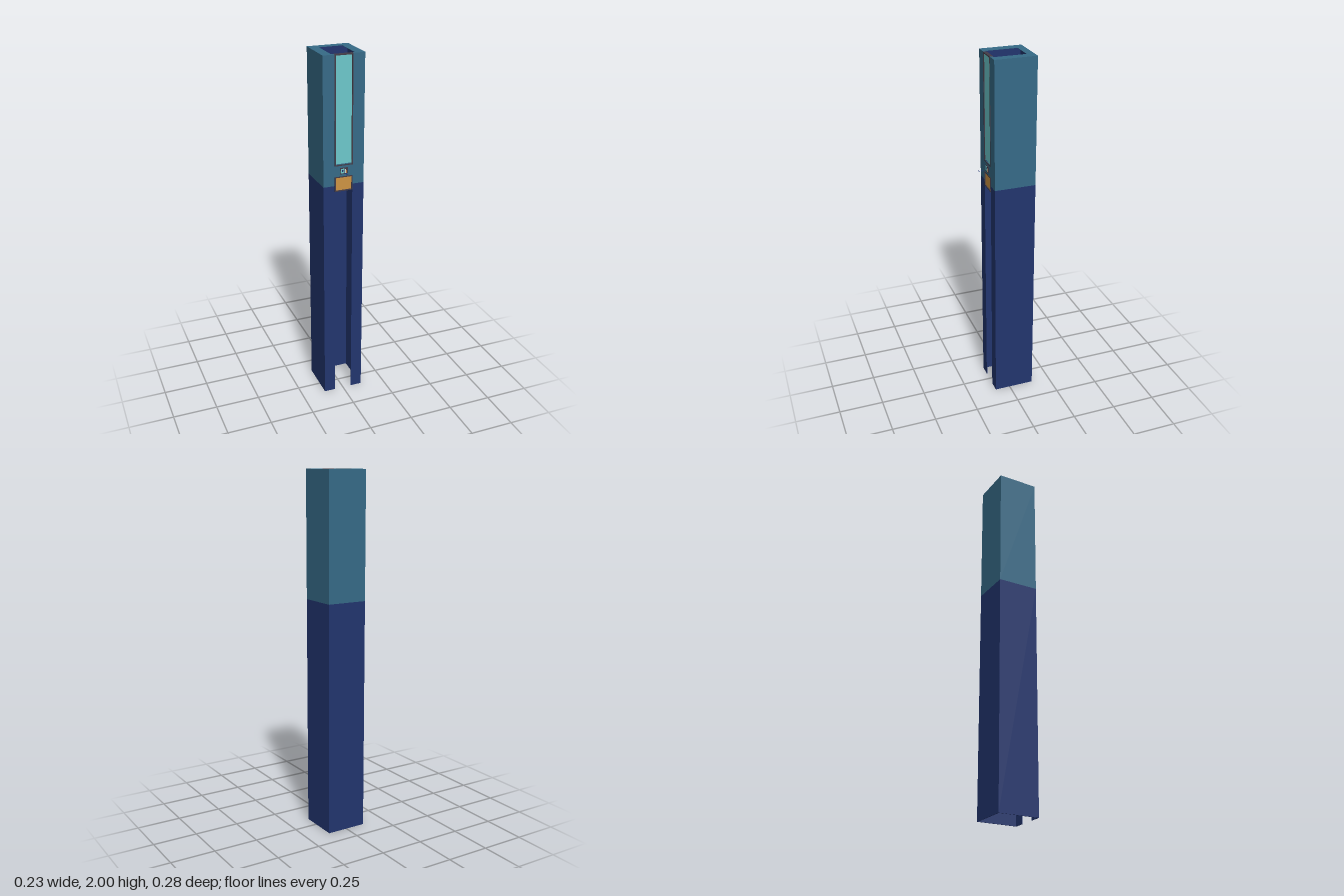
import * as THREE from 'three';

function material(name, color, side = THREE.FrontSide) {
  const m = new THREE.MeshStandardMaterial({ color, side });
  m.name = name;
  return m;
}

export function createModel() {
  const teal = material('teal', 0x366b88);
  const navy = material('navy', 0x22356f);
  const navySheet = navy;
  navySheet.side = THREE.DoubleSide;
  const cyan = material('cyan', 0x6dc9cc);
  const orange = material('orange', 0xcf9443);
  const copper = material('copper', 0xca8466);
  const dark = material('darkFrame', 0x433c48);
  const pale = material('paleGrey', 0xd0d4d8);

  const model = new THREE.Group();
  model.name = 'elevatorShaft';

  // Box given by its minimum and maximum on each axis
  function box(name, mat, x0, x1, y0, y1, z0, z1, parent = model) {
    const mesh = new THREE.Mesh(new THREE.BoxGeometry(x1 - x0, y1 - y0, z1 - z0), mat);
    mesh.position.set((x0 + x1) / 2, (y0 + y1) / 2, (z0 + z1) / 2);
    mesh.name = name;
    parent.add(mesh);
    return mesh;
  }

  const W = 0.115, BACK = -0.142, FRONT = 0.088, SLOT = 0.05;
  const SPLIT = 1.3, TOP = 2, T = 0.002;

  // Hollow walls: a navy liner inside, with a navy or teal skin outside
  const sections = [
    ['lower', navy, 0, SPLIT, 0],
    ['upper', teal, SPLIT, TOP, 0],
    ['liner', navy, 0, TOP - T, T],
  ];
  for (const [name, mat, y0, y1, inset] of sections) {
    const w = W - inset, b = BACK + inset, f = FRONT - inset;
    const walls = new THREE.Group();
    walls.name = name + 'Walls';
    model.add(walls);
    box('backWall', mat, -w, w, y0, y1, b, b + T, walls);
    for (const s of [-1, 1]) {
      const xs = [s * w, s * (w - T)].sort((p, q) => p - q);
      box('sideWall', mat, xs[0], xs[1], y0, y1, b, f, walls);
      const fs = [s * SLOT, s * w].sort((p, q) => p - q);
      box('frontStrip', mat, fs[0], fs[1], y0, y1, f - T, f, walls);
    }
  }
  box('frontBridge', teal, -SLOT, SLOT, 1.345, 1.42, FRONT - T, FRONT);
  box('frontBridgeLiner', navy, -SLOT, SLOT, 1.345, 1.42, FRONT - 2 * T, FRONT - T);

  // Top rim, open over the shaft and at the front slot
  const rim = new THREE.Shape([
    [-W, BACK], [W, BACK], [W, FRONT], [SLOT, FRONT], [SLOT, 0.075], [0.065, 0.075],
    [0.065, -0.102], [-0.065, -0.102], [-0.065, 0.075], [-SLOT, 0.075], [-SLOT, FRONT], [-W, FRONT],
  ].map(([x, z]) => new THREE.Vector2(x, z)));
  const rimGeometry = new THREE.ExtrudeGeometry(rim, { depth: T, bevelEnabled: false });
  rimGeometry.rotateX(Math.PI / 2);
  const rimMesh = new THREE.Mesh(rimGeometry, teal);
  rimMesh.position.y = TOP;
  rimMesh.name = 'topRim';
  model.add(rimMesh);

  // Framed doors in the front slot
  function door(name, mat, y0, y1, z0, z1) {
    const group = new THREE.Group();
    group.name = name;
    model.add(group);
    const w = 0.051, e = 0.006, f0 = 0.07, f1 = 0.0895;
    for (const s of [-1, 1]) {
      const xs = [s * w, s * (w - e)].sort((p, q) => p - q);
      box('doorJamb', dark, xs[0], xs[1], y0, y1, f0, f1, group);
    }
    box('doorHead', dark, -w + e, w - e, y1 - e, y1, f0, f1, group);
    box('doorSill', dark, -w + e, w - e, y0, y0 + e, f0, f1, group);
    box('doorPanel', mat, -w + e, w - e, y0 + e, y1 - e, z0, z1, group);
  }
  door('upperDoor', cyan, 1.41, TOP, 0.073, 0.085);
  door('lowerDoor', orange, 1.266, 1.35, 0.062, 0.085);

  // Car platform inside the shaft
  box('carTray', pale, -0.066, 0.066, 1.275, 1.285, -0.103, 0.074);
  box('carPlatform', copper, -0.061, 0.061, 1.285, 1.3, -0.099, 0.069);

  // Call panel with screen and buttons
  const panel = new THREE.Group();
  panel.name = 'callPanel';
  model.add(panel);
  box('panelPlate', dark, -0.022, 0.022, 1.363, 1.398, FRONT, 0.091, panel);
  box('panelScreen', cyan, -0.018, 0.002, 1.368, 1.393, 0.091, 0.0925, panel);
  box('panelMark', navy, -0.011, -0.003, 1.377, 1.386, 0.0925, 0.093, panel);
  box('panelButton', pale, 0.006, 0.011, 1.368, 1.39, 0.091, 0.0925, panel);
  box('panelButton', orange, 0.013, 0.018, 1.368, 1.383, 0.091, 0.0925, panel);

  // Two flat arrowheads in front of the panel
  const arrow = new THREE.Shape([
    [-0.008, 0.002], [-0.006, 0], [0.006, 0], [0.008, 0.002], [0.002, 0.011], [-0.002, 0.011],
  ].map(([x, y]) => new THREE.Vector2(x, y)));
  for (const z of [0.123, 0.14]) {
    const mesh = new THREE.Mesh(new THREE.ShapeGeometry(arrow), navySheet);
    mesh.rotation.x = -Math.PI / 2;
    mesh.position.set(0, 1.375, z);
    mesh.name = 'arrow';
    model.add(mesh);
  }
  return model;
}
